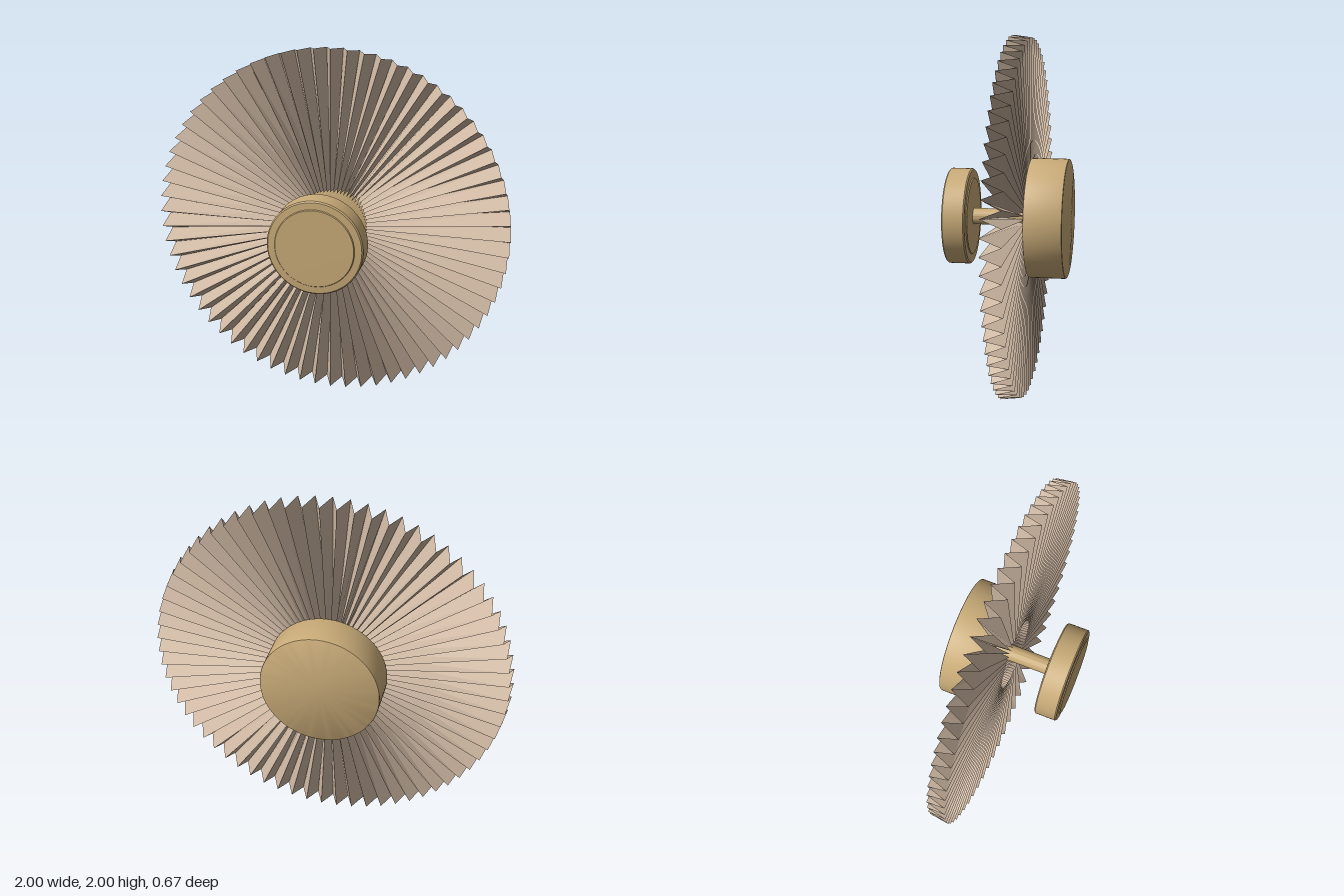
import * as THREE from 'three';
import { toCreasedNormals } from 'three/addons/utils/BufferGeometryUtils.js';

const PLEATS = 68;

// Solid turned about the z axis from [radius, z] points, listed back to front
function turned(points, material, name) {
  const profile = points.map(([r, z]) => new THREE.Vector2(r, z));
  const lathe = new THREE.LatheGeometry(profile, 72).rotateX(Math.PI / 2);
  const mesh = new THREE.Mesh(toCreasedNormals(lathe, 0.6), material);
  mesh.name = name;
  mesh.position.y = 1;
  return mesh;
}

// Folded ring: straight ridges alternate between a front and a back plane
function pleatedRing(inner, outerFront, outerBack, zFront, zBack) {
  const positions = [];
  const indices = [];
  const count = PLEATS * 2;
  for (let i = 0; i < count; i++) {
    const a = Math.PI / 2 + (i / count) * Math.PI * 2;
    const front = i % 2 === 0;
    const z = front ? zFront : zBack;
    for (const r of [inner, front ? outerFront : outerBack]) {
      positions.push(r * Math.cos(a), r * Math.sin(a), z);
    }
    const p = i * 2;
    const q = ((i + 1) % count) * 2;
    indices.push(p, p + 1, q + 1, p, q + 1, q);
  }
  const geometry = new THREE.BufferGeometry();
  geometry.setAttribute('position', new THREE.Float32BufferAttribute(positions, 3));
  geometry.setIndex(indices);
  const flat = geometry.toNonIndexed();
  flat.computeVertexNormals();
  return flat;
}

export function createModel() {
  const model = new THREE.Group();
  model.name = 'pleatedWallLamp';

  const brass = new THREE.MeshStandardMaterial({ color: 0xc9ab78 });
  brass.name = 'brass';
  const fabric = new THREE.MeshStandardMaterial({ color: 0xcdb7a2, side: THREE.DoubleSide, flatShading: true });
  fabric.name = 'pleatedFabric';

  // Wall mount behind the shade
  model.add(turned([
    [0, -0.335], [0.322, -0.335], [0.328, -0.332], [0.33, -0.326],
    [0.33, -0.134], [0.328, -0.128], [0.322, -0.125], [0, -0.125],
  ], brass, 'wallMount'));

  // Stem joining mount and front cap
  model.add(turned([[0.045, -0.126], [0.045, 0.2]], brass, 'stem'));

  // Front cap with a shallow raised disc on each face
  model.add(turned([
    [0, 0.194], [0.21, 0.194], [0.212, 0.2], [0.258, 0.2], [0.265, 0.207],
    [0.265, 0.319], [0.258, 0.326], [0.22, 0.328], [0.216, 0.334], [0, 0.335],
  ], brass, 'frontCap'));

  // Pleated disc shade
  const shade = new THREE.Mesh(pleatedRing(0.2, 1, 0.986, -0.015, -0.123), fabric);
  shade.name = 'pleatedShade';
  shade.position.y = 1;
  model.add(shade);

  return model;
}
